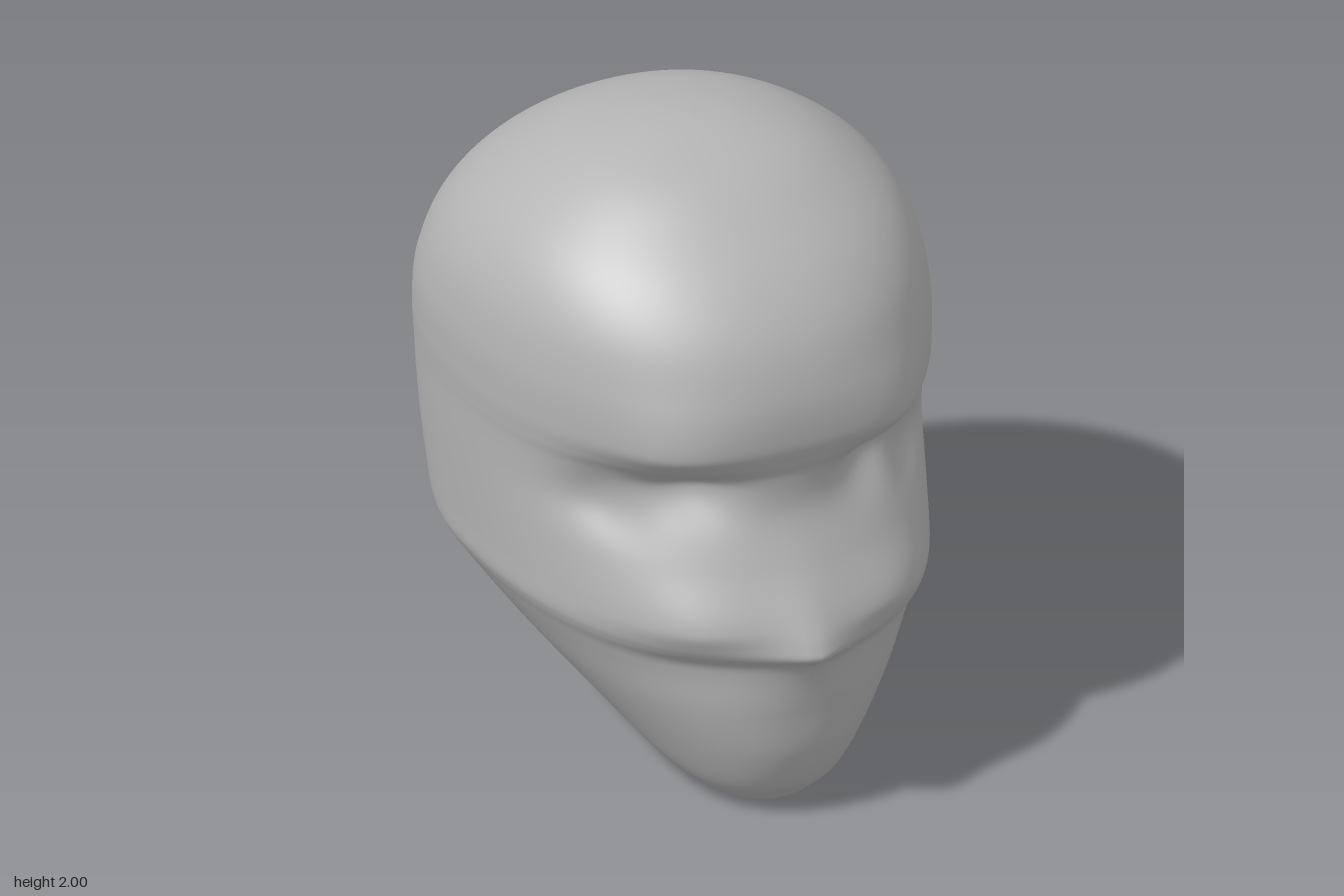
import * as THREE from 'three';
import { mergeVertices } from 'three/addons/utils/BufferGeometryUtils.js';

// Horizontal sections from chin to crown: height, front z, back z, half width, nose ridge
const SECTIONS = [
  [0, 0.5, 0.5, 0, 0],
  [0.012, 0.64, 0.33, 0.14, 0],
  [0.05, 0.7, 0.08, 0.22, 0],
  [0.12, 0.765, -0.13, 0.295, 0],
  [0.25, 0.82, -0.42, 0.4, 0],
  [0.4, 0.845, -0.66, 0.52, 0],
  [0.52, 0.855, -0.765, 0.605, 0.015],
  [0.58, 0.86, -0.8, 0.645, 0.04],
  [0.62, 0.872, -0.82, 0.67, 0.083],
  [0.66, 0.872, -0.84, 0.685, 0.075],
  [0.74, 0.855, -0.875, 0.692, 0.045],
  [0.88, 0.795, -0.925, 0.703, 0.018],
  [1.02, 0.742, -0.95, 0.713, 0.008],
  [1.14, 0.742, -0.955, 0.72, 0.005],
  [1.2, 0.765, -0.951, 0.725, 0],
  [1.28, 0.785, -0.942, 0.73, 0],
  [1.42, 0.778, -0.905, 0.728, 0],
  [1.58, 0.72, -0.83, 0.695, 0],
  [1.72, 0.61, -0.71, 0.62, 0],
  [1.84, 0.46, -0.55, 0.495, 0],
  [1.93, 0.31, -0.37, 0.345, 0],
  [1.985, 0.12, -0.15, 0.165, 0],
  [2, 0, 0, 0, 0],
];

// Smooth interpolation of a whole section row
function sectionAt(s) {
  const last = SECTIONS.length - 1;
  const i = Math.min(Math.floor(s), last - 1), t = s - i;
  const row = (k) => SECTIONS[Math.max(0, Math.min(last, k))];
  return SECTIONS[0].map((_, c) => {
    const a = row(i - 1)[c], b = row(i)[c], d = row(i + 1)[c], e = row(i + 2)[c];
    const m0 = (d - a) / 2, m1 = (e - b) / 2;
    return b + m0 * t + (3 * (d - b) - 2 * m0 - m1) * t * t + (2 * (b - d) + m0 + m1) * t * t * t;
  });
}

const bell = (v, centre, below, above = below) =>
  Math.exp(-(((v - centre) / (v < centre ? below : above)) ** 2));

// Depth of the widest point: forward at the chin, behind the centre at the skull
function widestZ(y) {
  const jaw = THREE.MathUtils.smoothstep(y, -0.25, 0.75);
  const crown = THREE.MathUtils.smoothstep(y, 1.3, 2);
  return THREE.MathUtils.lerp(0.54, -0.2, jaw) + 0.2 * crown;
}

// Sculpted face: eye sockets, brows, cheeks, mouth ledge and temple hollows
function faceRelief(x, y) {
  const ax = Math.abs(x);
  const eye = -0.075 * bell(ax, 0.29, 0.12, 0.13) * bell(y, 1.115, 0.1, 0.05);
  const brow = 0.04 * bell(ax, 0.4, 0.2, 0.12) * bell(y, 1.26, 0.06, 0.16);
  const cheek = 0.045 * bell(ax, 0.38, 0.2, 0.17) * bell(y, 0.71, 0.065, 0.15);
  const mouth = -0.02 * bell(ax, 0.32, 0.2, 0.2) * bell(y, 0.56, 0.12, 0.05);
  const temple = -0.07 * bell(ax, 0.5, 0.1, 0.1) * bell(y, 1.03, 0.1, 0.14);
  return eye + brow + cheek + mouth + temple;
}

function headGeometry() {
  const rings = 220, sides = 144;
  const positions = [], index = [];
  for (let r = 0; r <= rings; r++) {
    const [y, front, back, width, nose] = sectionAt((r / rings) * (SECTIONS.length - 1));
    const middle = Math.max(Math.min(widestZ(y), front), back);
    for (let k = 0; k < sides; k++) {
      const a = (k / sides) * Math.PI * 2;
      const sin = Math.sin(a), cos = Math.cos(a);
      const power = cos > 0 ? 2 / 2.2 : 2 / 2.05;
      const x = width * Math.sign(sin) * Math.abs(sin) ** power;
      const reach = Math.abs(cos) ** power;
      let z = middle + (cos > 0 ? front - middle : back - middle) * reach;
      if (cos > 0) {
        const ridge = Math.exp(-((Math.hypot(x, 0.015) / 0.13) ** 1.3));
        z += nose * ridge + faceRelief(x, y) * Math.min(1, reach * 2);
      }
      positions.push(x, y, z);
      if (r < rings) {
        const p = r * sides + k, q = r * sides + ((k + 1) % sides);
        if (r > 0) index.push(p, q, q + sides);
        if (r < rings - 1) index.push(p, q + sides, p + sides);
        else index.push(p, q, p + sides);
      }
    }
  }
  const geometry = new THREE.BufferGeometry();
  geometry.setAttribute('position', new THREE.Float32BufferAttribute(positions, 3));
  geometry.setIndex(index);
  const welded = mergeVertices(geometry, 1e-5);
  welded.computeVertexNormals();
  return welded;
}

export function createModel() {
  const group = new THREE.Group();
  group.name = 'headBust';
  const clay = new THREE.MeshStandardMaterial({ color: 0xb4b4b4 });
  clay.name = 'grey clay';
  const head = new THREE.Mesh(headGeometry(), clay);
  head.name = 'head';
  group.add(head);
  return group;
}
